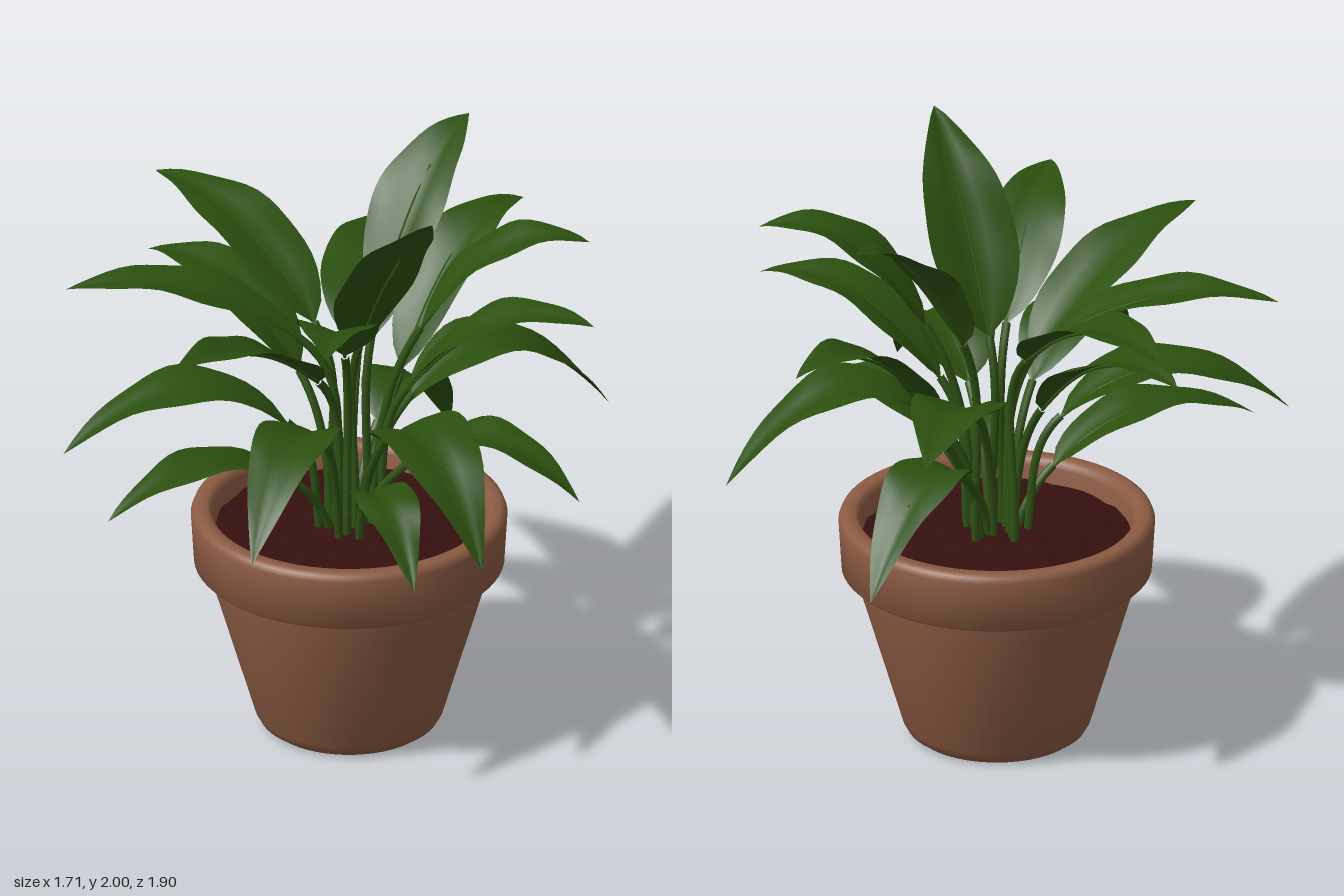
import * as THREE from 'three';
import { toCreasedNormals } from 'three/addons/utils/BufferGeometryUtils.js';

const CX = 0.04; // centre of the pot and of the plant

// tip x, y, z | blade start: fraction of the way out, height | height at mid blade | blade width
const LEAVES = [
  [-0.01, 1.35, -0.95, 0.27, 1.22, 1.38, 0.29],
  [0.48, 1.53, -0.79, 0.30, 1.16, 1.50, 0.24],
  [0.33, 1.91, -0.61, 0.24, 1.42, 1.77, 0.26],
  [0.81, 0.97, -0.48, 0.24, 1.13, 1.25, 0.29],
  [0.81, 1.73, -0.11, 0.30, 1.42, 1.70, 0.25],
  [0.85, 1.50, 0.04, 0.24, 1.22, 1.48, 0.25],
  [0.83, 0.95, 0.21, 0.30, 1.00, 1.11, 0.21],
  [0.60, 0.94, 0.74, 0.28, 1.12, 1.23, 0.31],
  [0.35, 0.77, 0.58, 0.25, 0.88, 0.95, 0.20],
  [0.37, 2.00, 0.39, 0.12, 1.37, 1.74, 0.30],
  [0.09, 1.68, 0.77, 0.18, 1.38, 1.62, 0.26],
  [-0.12, 1.01, 0.95, 0.27, 1.13, 1.25, 0.25],
  [-0.40, 1.60, 0.77, 0.18, 1.28, 1.52, 0.25],
  [-0.65, 0.95, 0.60, 0.22, 0.90, 1.05, 0.22],
  [-0.83, 1.08, 0.40, 0.22, 1.10, 1.25, 0.27],
  [-0.86, 1.56, 0.17, 0.18, 1.38, 1.56, 0.25],
  [-0.68, 1.46, -0.36, 0.25, 1.20, 1.45, 0.25],
  [-0.69, 1.64, -0.57, 0.18, 1.37, 1.61, 0.27],
  [0.25, 0.73, -0.72, 0.28, 0.98, 1.02, 0.24],
];

// curved, lightly folded blade that tapers to a long point
function bladeGeometry(curve, side, width, phase) {
  const rows = 18, cols = 6, pos = [], index = [];
  for (let i = 0; i <= rows; i++) {
    const t = i / rows;
    const p = curve.getPoint(t);
    const normal = side.clone().cross(curve.getTangent(t)).normalize();
    const half = width * 0.5 * Math.pow(Math.sin(Math.PI * Math.pow(t, 0.78)), 0.85) * (1.08 - 0.2 * t) + 0.004 * (1 - t);
    for (let j = 0; j <= cols; j++) {
      const s = (j / cols) * 2 - 1;
      const fold = half * (0.42 * Math.abs(s) - 0.2 * s * s);
      const ripple = 0.008 * s * s * Math.sin(t * 15 + phase + s * 2) * Math.sin(Math.PI * t);
      const v = p.clone().addScaledVector(side, half * s).addScaledVector(normal, fold + ripple);
      pos.push(v.x, v.y, v.z);
      if (i < rows && j < cols) {
        const a = i * (cols + 1) + j, c = a + cols + 1;
        index.push(a, a + 1, c, a + 1, c + 1, c);
      }
    }
  }
  const g = new THREE.BufferGeometry();
  g.setAttribute('position', new THREE.Float32BufferAttribute(pos, 3));
  g.setIndex(index);
  g.computeVertexNormals();
  return g;
}

export function createModel() {
  const model = new THREE.Group();
  model.name = 'pottedPlant';
  const terracotta = new THREE.MeshStandardMaterial({ color: 0x8c5b43 });
  terracotta.name = 'terracotta';
  const soilBrown = new THREE.MeshStandardMaterial({ color: 0x35100f });
  soilBrown.name = 'soil brown';
  const leafGreen = new THREE.MeshStandardMaterial({ color: 0x2c500f, side: THREE.DoubleSide });
  leafGreen.name = 'leaf green';
  const stemGreen = new THREE.MeshStandardMaterial({ color: 0x2f5214 });
  stemGreen.name = 'stem green';

  // pot wall with rolled rim, outside then inside
  const profile = [
    [0, 0.01], [0.27, 0.01], [0.29, 0.018], [0.305, 0.045], [0.44, 0.5], [0.448, 0.565],
    [0.49, 0.568], [0.502, 0.58], [0.512, 0.745], [0.505, 0.763], [0.49, 0.77],
    [0.46, 0.77], [0.447, 0.76], [0.44, 0.74], [0.425, 0.62],
  ].map(([r, y]) => new THREE.Vector2(r, y));
  const pot = new THREE.Mesh(toCreasedNormals(new THREE.LatheGeometry(profile, 64), 0.8), terracotta);
  pot.name = 'pot';
  pot.position.x = CX;
  model.add(pot);

  // foot under the pot
  const foot = new THREE.Mesh(new THREE.CylinderGeometry(0.275, 0.265, 0.012, 64), terracotta);
  foot.name = 'potFoot';
  foot.position.set(CX, 0.006, 0);
  model.add(foot);

  // uneven soil surface
  const soilGeometry = new THREE.RingGeometry(0.001, 0.437, 48, 12).rotateX(-Math.PI / 2);
  const sp = soilGeometry.attributes.position;
  for (let i = 0; i < sp.count; i++) {
    const x = sp.getX(i), z = sp.getZ(i);
    sp.setY(i, 0.007 * Math.sin(x * 31 + z * 9) * Math.cos(z * 37 - x * 13) + 0.02 * (1 - Math.hypot(x, z) / 0.44));
  }
  soilGeometry.computeVertexNormals();
  const soil = new THREE.Mesh(soilGeometry, soilBrown);
  soil.name = 'soil';
  soil.position.set(CX, 0.69, 0);
  model.add(soil);

  // leaves, each with a stem rising from the central clump
  LEAVES.forEach(([tx, ty, tz, f, startY, midY, width], i) => {
    const tip = new THREE.Vector3(tx, ty, tz);
    const dir = new THREE.Vector3(tx - CX, 0, tz);
    const reach = dir.length();
    dir.normalize();
    const side = new THREE.Vector3(-dir.z, 0, dir.x);
    const at = (r, y) => new THREE.Vector3(CX + dir.x * r, y, dir.z * r);

    const start = at(reach * f, startY);
    const mid = at(reach * (f + 1) * 0.49, midY);
    const control = mid.multiplyScalar(2).addScaledVector(start, -0.5).addScaledVector(tip, -0.5);
    const curve = new THREE.QuadraticBezierCurve3(start, control, tip);
    const leaf = new THREE.Group();
    leaf.name = 'leaf' + (i + 1);

    const blade = new THREE.Mesh(bladeGeometry(curve, side, width, i * 1.7), leafGreen);
    blade.name = 'blade';
    leaf.add(blade);

    const root = at(0.04 + 0.03 * (i % 3), 0.69);
    const handle = start.clone().addScaledVector(curve.getTangent(0), -0.35 * (startY - 0.69));
    const stemCurve = new THREE.CubicBezierCurve3(root, at(0.06 + 0.03 * (i % 3), 0.69 + (startY - 0.69) * 0.4), handle, start);
    const stem = new THREE.Mesh(new THREE.TubeGeometry(stemCurve, 14, 0.014, 7), stemGreen);
    stem.name = 'stem';
    leaf.add(stem);

    // raised midrib under the blade
    const ribPoints = [0, 0.2, 0.4, 0.6].map((t) => curve.getPoint(t).add(new THREE.Vector3(0, -0.004, 0)));
    const rib = new THREE.Mesh(new THREE.TubeGeometry(new THREE.CatmullRomCurve3(ribPoints), 12, 0.006, 5), stemGreen);
    rib.name = 'midrib';
    leaf.add(rib);
    model.add(leaf);
  });
  return model;
}
